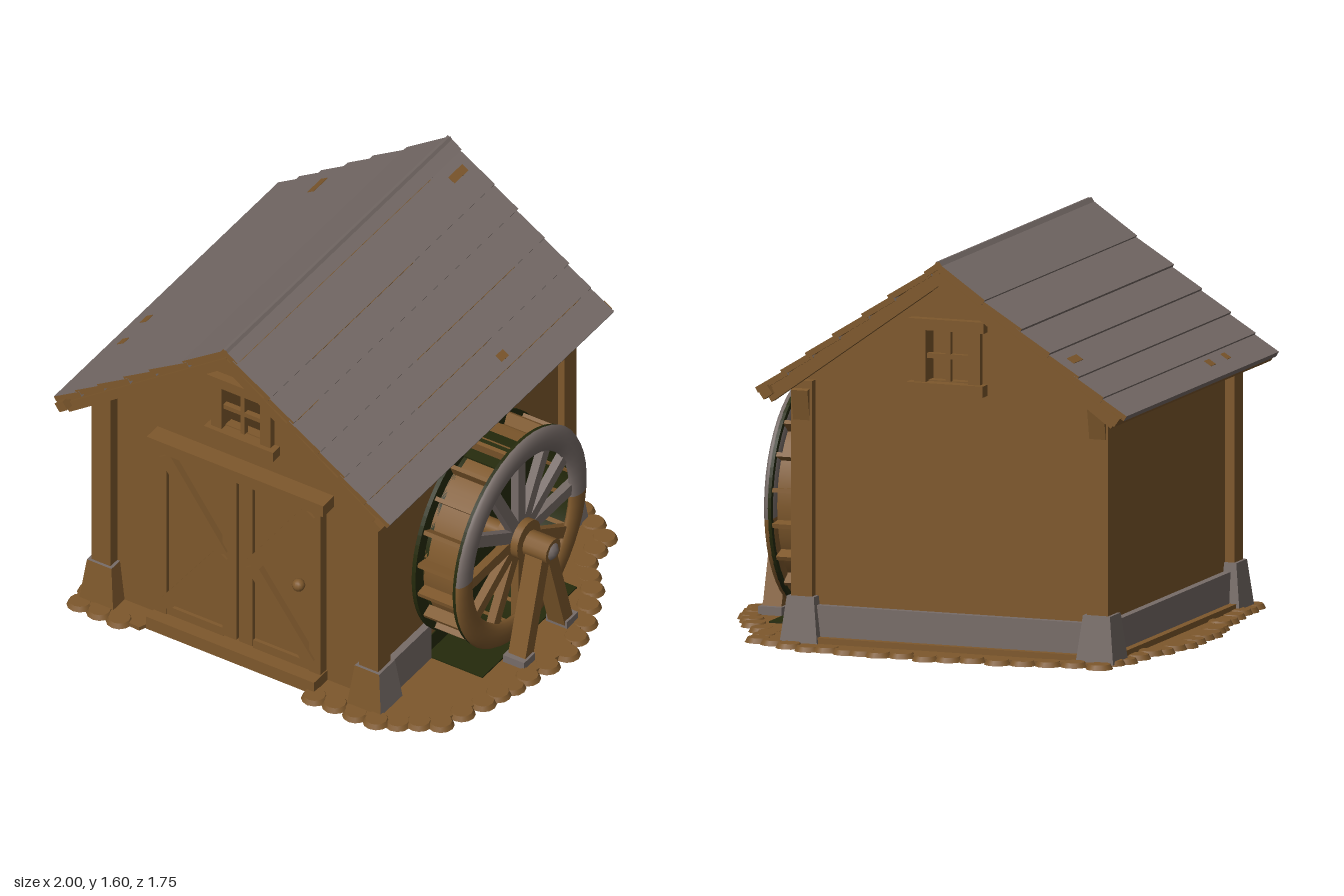
import * as THREE from 'three';

const mat = (name, color) => {
  const m = new THREE.MeshStandardMaterial({ color });
  m.name = name;
  return m;
};

export function createModel() {
  const root = new THREE.Group();
  root.name = 'watermill';
  const wood = mat('brown wood', 0x7e582c);
  const grey = mat('grey weathered', 0x776c68);
  const moss = mat('dark moss green', 0x252a0c);
  const CX = -0.145; // house centre line

  const add = (name, geo, m, x = 0, y = 0, z = 0) => {
    const mesh = new THREE.Mesh(geo, m);
    mesh.name = name;
    mesh.position.set(x, y, z);
    root.add(mesh);
    return mesh;
  };
  // axis-aligned box given by its limits
  const box = (name, m, x0, x1, y0, y1, z0, z1) =>
    add(name, new THREE.BoxGeometry(x1 - x0, y1 - y0, z1 - z0), m, (x0 + x1) / 2, (y0 + y1) / 2, (z0 + z1) / 2);
  // slanted bar from a to b
  const beam = (name, m, a, b, w, h) => {
    const A = new THREE.Vector3(...a), B = new THREE.Vector3(...b);
    const mesh = add(name, new THREE.BoxGeometry(w, h, A.distanceTo(B)), m);
    mesh.position.copy(A).lerp(B, 0.5);
    mesh.lookAt(B);
  };
  // cylinder lying along x
  const axial = (name, m, r, x0, x1, y, z, seg = 24, open = false) => {
    const c = add(name, new THREE.CylinderGeometry(r, r, x1 - x0, seg, 1, open), m, (x0 + x1) / 2, y, z);
    c.rotation.z = -Math.PI / 2;
  };

  // Ground: thin slab with a lumpy rim
  const outline = [[-0.85, 0.8], [-0.56, 0.82], [-0.54, 0.77], [0.24, 0.77], [0.26, 0.81], [0.55, 0.81], [0.77, 0.68],
    [0.84, 0.48], [0.9, 0.25], [0.945, 0.03], [0.9, -0.17], [0.81, -0.36], [0.69, -0.5], [0.67, -0.67], [0.5, -0.77],
    [0.25, -0.79], [0.1, -0.82], [-0.3, -0.82], [-0.5, -0.78], [-0.82, -0.77], [-0.89, -0.4], [-0.94, -0.15],
    [-0.945, 0.1], [-0.89, 0.35]];
  const slab = new THREE.Shape(outline.map(([x, z]) => new THREE.Vector2(x, -z)));
  const slabGeo = new THREE.ExtrudeGeometry(slab, { depth: 0.017, bevelEnabled: false });
  slabGeo.rotateX(-Math.PI / 2);
  add('ground', slabGeo, wood, 0, 0.004, 0);
  const lump = new THREE.CylinderGeometry(0.044, 0.055, 0.02, 12);
  outline.forEach(([x, z], i) => {
    const [x2, z2] = outline[(i + 1) % outline.length];
    if (z > 0.76 && z2 > 0.76 && x > -0.6 && x < 0.25) return; // clear in front of the door
    const n = Math.max(1, Math.round(Math.hypot(x2 - x, z2 - z) / 0.095));
    for (let k = 0; k < n; k++) {
      add('groundLump', lump, wood, x + (x2 - x) * k / n, 0.012 + 0.003 * ((i + k) % 3), z + (z2 - z) * k / n);
    }
  });
  box('undersidePlate', moss, -0.77, 0.47, 0.002, 0.006, -0.64, 0.68);
  for (const [x, z, w, d] of [[0.25, -0.58, 0.3, 0.07], [-0.02, 0.19, 0.05, 0.05], [-0.59, 0.51, 0.1, 0.06], [-0.67, -0.16, 0.05, 0.13]]) {
    box('undersidePatch', wood, x - w / 2, x + w / 2, 0, 0.004, z - d / 2, z + d / 2);
  }
  box('wheelPool', moss, 0.49, 0.76, 0.018, 0.027, -0.33, 0.36);
  // Damp moss on the wall beside the wheel
  box('wallMossLow', moss, 0.489, 0.495, 0.02, 0.1, -0.36, 0.36);
  box('wallMossHigh', moss, 0.489, 0.495, 0.92, 1.0, -0.07, 0.2);

  // Gable walls with a window opening
  const gable = new THREE.Shape();
  [[-0.79, 0.02], [0.49, 0.02], [0.49, 1.07], [CX, 1.53], [-0.79, 1.07]].forEach(([x, y], i) =>
    i ? gable.lineTo(x, y) : gable.moveTo(x, y));
  const hole = new THREE.Path();
  hole.moveTo(-0.23, 1.1).lineTo(-0.23, 1.31).lineTo(-0.05, 1.31).lineTo(-0.05, 1.1).closePath();
  gable.holes.push(hole);
  const gableGeo = new THREE.ExtrudeGeometry(gable, { depth: 0.04, bevelEnabled: false });
  add('frontWall', gableGeo, wood, 0, 0, 0.66);
  add('backWall', gableGeo, wood, 0, 0, -0.66);
  box('leftWall', wood, 0.45, 0.49, 0.02, 1.07, -0.62, 0.66);
  box('rightWall', wood, -0.79, -0.75, 0.02, 1.07, -0.62, 0.66);

  // Window frames on both gables
  for (const z of [0.705, -0.665]) {
    const fr = (n, x0, x1, y0, y1, d) => box(n, wood, x0, x1, y0, y1, z - d, z + d);
    fr('windowHead', -0.3, 0.02, 1.305, 1.35, 0.035);
    fr('windowSill', -0.3, 0.025, 1.05, 1.095, 0.045);
    fr('windowJamb', -0.28, -0.23, 1.095, 1.305, 0.025);
    fr('windowJamb', -0.05, 0.0, 1.095, 1.305, 0.025);
    fr('windowBar', -0.15, -0.13, 1.1, 1.31, 0.012);
    fr('windowBar', -0.23, -0.05, 1.19, 1.21, 0.012);
  }

  // Corner posts on flared footings, braced at the back
  for (const x of [-0.785, 0.475]) for (const z of [0.705, -0.655]) {
    add('cornerPost', new THREE.BoxGeometry(0.09, 0.94, 0.09), wood, x, 0.6, z);
    const foot = new THREE.BoxGeometry(0.16, 0.19, 0.16);
    const p = foot.attributes.position;
    for (let i = 0; i < p.count; i++) if (p.getY(i) > 0) p.setXYZ(i, p.getX(i) * 0.72, p.getY(i), p.getZ(i) * 0.72);
    foot.computeVertexNormals();
    add('postFooting', foot, [x < 0 ? wood : grey, grey, grey, grey, wood, grey], x, 0.11, z);
    if (z < 0) beam('postBrace', wood, [x, 0.84, z], [x, 1.04, z - 0.04], 0.07, 0.06);
  }

  // Grey plinth on an earth kerb at the back and side, open behind the wheel
  box('backPlinth', grey, -0.72, 0.42, 0.02, 0.17, -0.69, -0.65);
  box('backKerb', wood, -0.72, 0.42, 0.01, 0.045, -0.72, -0.65);
  box('rightPlinth', grey, -0.82, -0.78, 0.02, 0.17, -0.6, 0.65);
  box('rightKerb', wood, -0.85, -0.78, 0.01, 0.045, -0.6, 0.65);
  box('leftPlinth', grey, 0.48, 0.52, 0.02, 0.19, 0.36, 0.65);
  box('leftPlinth', grey, 0.48, 0.52, 0.02, 0.19, -0.6, -0.36);

  // Double door
  box('doorSill', wood, -0.54, 0.25, 0.01, 0.07, 0.69, 0.8);
  box('doorHeader', wood, -0.55, 0.28, 0.9, 0.955, 0.69, 0.78);
  for (const s of [-1, 1]) {
    const X = (d) => CX + s * d;
    const bar = (n, d0, d1, y0, y1, z1) =>
      box(n, wood, Math.min(X(d0), X(d1)), Math.max(X(d0), X(d1)), y0, y1, 0.69, z1);
    bar('doorPanel', 0.004, 0.38, 0.07, 0.9, 0.725);
    bar('doorInnerStile', 0.006, 0.07, 0.08, 0.9, 0.745);
    bar('doorOuterStile', 0.335, 0.39, 0.07, 0.9, 0.745);
    bar('doorBottomRail', 0.07, 0.335, 0.07, 0.11, 0.74);
    for (const y of [0.87, 0.12]) beam('doorBrace', wood, [X(0.34), y, 0.738], [X(0.07), 0.49, 0.738], 0.035, 0.06);
  }
  add('doorKnob', new THREE.SphereGeometry(0.027, 12, 8), wood, 0.145, 0.485, 0.75);

  // Roof: overlapping boards over a deck, bargeboards and rafters
  const ridgeY = 1.592, ang = 0.622;
  for (const s of [-1, 1]) {
    // distances down the slope where boards begin and end
    const edges = s > 0 ? [0, 0.06, 0.25, 0.385, 0.54, 0.68, 0.81, 0.94] : [0, 0.23, 0.42, 0.57, 0.72, 0.85, 0.97];
    // bare wood showing on the lower board edges: board, z from, z to
    const bare = s > 0 ? [[0, -0.57, 0.82], [1, -0.2, 0.53], [2, 0.66, 0.82], [3, -0.58, 0.13], [4, -0.2, 0.3], [5, -0.7, 0.8]] : [];
    // small worn spots on the board faces: slope distance, z, length
    const spots = s > 0 ? [[0.13, -0.7, 0.1], [0.77, -0.21, 0.05]] : [[0.645, -0.66, 0.1], [0.9, 0.27, 0.05], [0.9, 0.44, 0.04]];
    const L = edges[edges.length - 1];
    const at = (t, n) => [CX + s * (Math.cos(ang) * t + Math.sin(ang) * n), ridgeY - Math.sin(ang) * t + Math.cos(ang) * n];
    const tilt = (i) => (i ? 0.07 : 0.02);
    for (let i = 0; i + 1 < edges.length; i++) {
      const len = edges[i + 1] - edges[i] + 0.02, r = ang - tilt(i);
      const [x, y] = at((edges[i] + edges[i + 1]) / 2, -0.006);
      const b = add('roofBoard', new THREE.BoxGeometry(len, 0.024, 1.64), [grey, grey, grey, wood, wood, wood],
        x, y, 0.02 + 0.003 * (i % 2));
      b.rotation.z = -s * r;
      for (const [, z0, z1] of bare.filter((e) => e[0] === i)) {
        add('bareBoardEdge', new THREE.BoxGeometry(0.004, 0.022, z1 - z0), wood,
          x + s * Math.cos(r) * len / 2, y - Math.sin(r) * len / 2, (z0 + z1) / 2).rotation.z = -s * r;
      }
    }
    for (const [t, z, d] of spots) {
      const i = edges.findIndex((e) => e > t) - 1;
      const [x, y] = at(t, 0.006 + tilt(i) * (t - (edges[i] + edges[i + 1]) / 2));
      add('wornSpot', new THREE.BoxGeometry(0.035, 0.005, d), wood, x, y, z).rotation.z = -s * (ang - tilt(i));
    }
    const [dx, dy] = at(L / 2, -0.03);
    add('roofDeck', new THREE.BoxGeometry(L - 0.02, 0.026, 1.61), wood, dx, dy, 0.02).rotation.z = -s * ang;
    for (const z of [0.815, -0.775, 0.35, 0.14, -0.13, -0.37]) {
      const end = z > 0.5 || z < -0.5;
      beam(end ? 'bargeboard' : 'rafter', wood, [...at(0.02, -0.052), z], [...at(L - (end ? 0.015 : 0.04), -0.052), z], 0.04, 0.042);
    }
    const [ex, ey] = at(L - 0.025, -0.03);
    add('eaveBeam', new THREE.BoxGeometry(0.045, 0.04, 1.69), wood, ex, ey, 0.025).rotation.z = -s * ang;
  }
  box('ridgeBeam', wood, CX - 0.035, CX + 0.035, 1.47, 1.54, -0.77, 0.81);

  // Water wheel
  const WY = 0.5, WZ = 0.03;
  axial('wheelDrum', wood, 0.41, 0.53, 0.72, WY, WZ, 40, true);
  axial('wheelBackDisc', moss, 0.41, 0.525, 0.55, WY, WZ, 40);
  const liner = new THREE.CylinderGeometry(0.4, 0.4, 0.18, 40, 1, true);
  liner.scale(-1, 1, 1); // mirrored so that it faces inwards
  add('wheelDrumLining', liner, moss, 0.625, WY, WZ).rotation.z = -Math.PI / 2;
  const ring = new THREE.Shape();
  ring.absarc(0, 0, 0.468, 0, Math.PI * 2);
  const gap = new THREE.Path();
  gap.absarc(0, 0, 0.385, 0, Math.PI * 2, true);
  ring.holes.push(gap);
  const ringGeo = new THREE.ExtrudeGeometry(ring, { depth: 0.018, bevelEnabled: false, curveSegments: 36 });
  ringGeo.rotateY(Math.PI / 2);
  add('wheelBackRim', ringGeo, moss, 0.515, WY, WZ);
  add('wheelFrontRimEdge', ringGeo, moss, 0.708, WY, WZ);
  for (const [m, start] of [[grey, 0], [wood, Math.PI]]) {
    const half = new THREE.TorusGeometry(0.417, 0.055, 12, 24, Math.PI);
    half.rotateZ(start - 0.1);
    half.scale(1, 1, 0.42);
    half.rotateY(Math.PI / 2);
    add('wheelRim', half, m, 0.727, WY, WZ);
  }
  for (let i = 0; i < 20; i++) {
    const a = (i + 0.5) / 20 * Math.PI * 2;
    const p = add('wheelPaddle', new THREE.BoxGeometry(0.18, 0.065, 0.018), wood,
      0.625, WY + Math.cos(a) * 0.428, WZ + Math.sin(a) * 0.428);
    p.rotation.x = a;
    // mossy buckets at the top and bottom of the wheel
    if (Math.abs(Math.cos(a)) > 0.93) {
      const b = add('mossyBucket', new THREE.BoxGeometry(0.17, 0.008, 0.115), moss,
        0.625, WY + Math.cos(a) * 0.418, WZ + Math.sin(a) * 0.418);
      b.rotation.x = a;
    }
  }
  for (let i = 0; i < 12; i++) {
    const a = i / 12 * Math.PI * 2;
    const s = add('wheelSpoke', new THREE.BoxGeometry(0.035, 0.35, 0.05), Math.cos(a) > 0.2 || i === 9 ? grey : wood,
      0.715, WY + Math.cos(a) * 0.225, WZ + Math.sin(a) * 0.225);
    s.rotation.x = a;
  }
  axial('wheelHub', wood, 0.085, 0.66, 0.765, WY, WZ, 20);
  axial('wheelAxle', wood, 0.04, 0.45, 0.86, WY - 0.01, WZ, 16);
  add('axleCap', new THREE.SphereGeometry(0.048, 14, 10), grey, 0.85, WY - 0.01, WZ);

  // A-frame bearing for the axle
  axial('bearingBlock', wood, 0.055, 0.77, 0.88, WY - 0.01, WZ, 12);
  for (const s of [-1, 1]) {
    beam('bearingLeg', wood, [0.82, 0.01, WZ + s * 0.155], [0.82, 0.48, WZ + s * 0.015], 0.08, 0.06);
    const z = WZ + s * 0.157;
    box('bearingFoot', grey, 0.77, 0.87, 0.01, 0.055, z - 0.04, z + 0.04);
  }
  return root;
}
